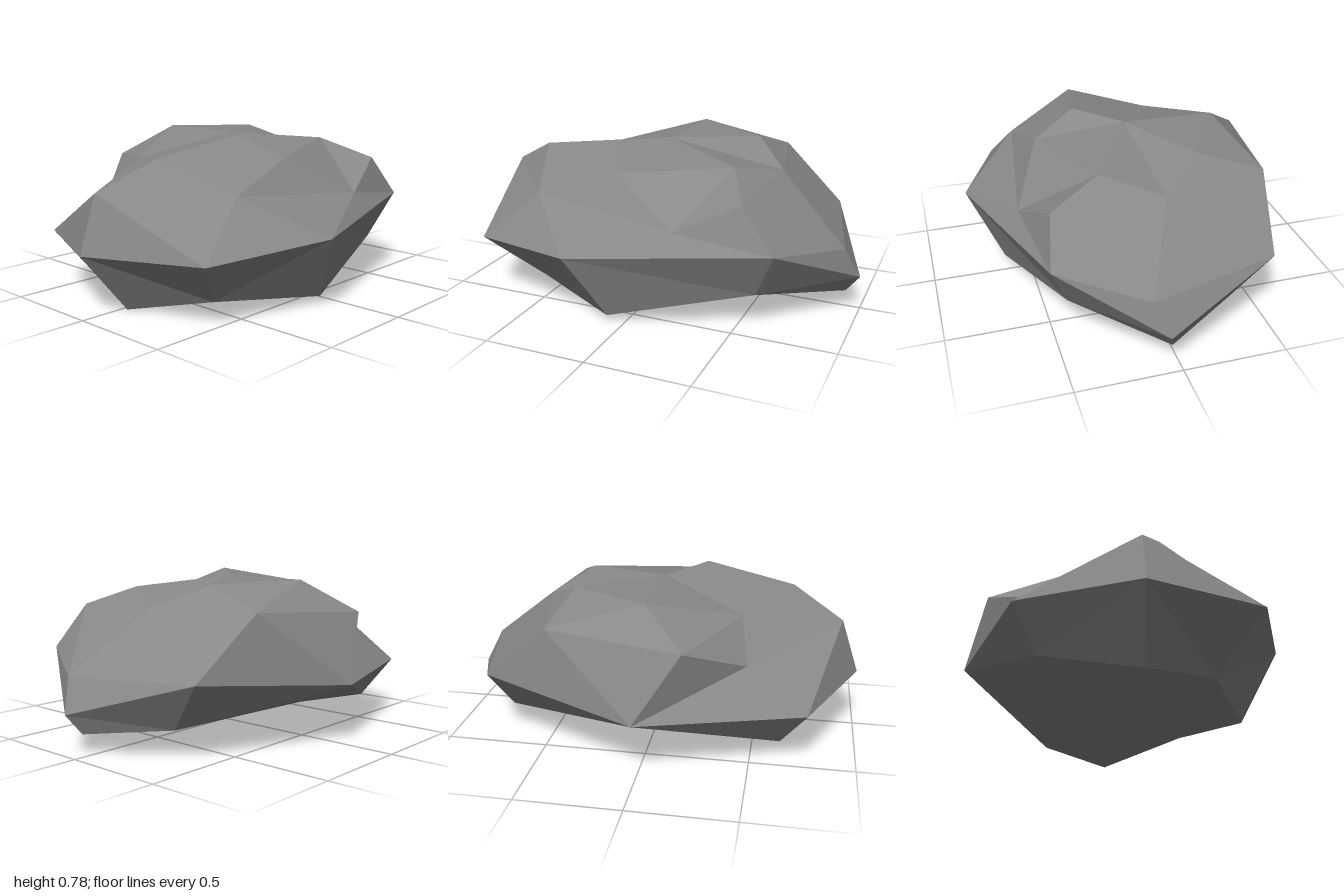
import * as THREE from 'three';

// Rings of the boulder, from crown to base; each starts at -x and turns through +z.
const crown = [-0.02, 0.76, -0.02];
const rings = [
  [[-0.66, 0.70, 0.12], [-0.21, 0.78, 0.20], [-0.11, 0.68, 0.42], [0.41, 0.715, 0.23],
   [0.57, 0.645, -0.05], [0.385, 0.75, -0.255], [0, 0.76, -0.48], [-0.43, 0.65, -0.25]],
  [[-0.91, 0.565, 0], [-0.51, 0.555, 0.48], [0.235, 0.485, 0.58], [0.53, 0.62, 0.48],
   [0.93, 0.345, 0.12], [0.45, 0.645, -0.58], [-0.20, 0.605, -0.68], [-0.47, 0.475, -0.455]],
  [[-1, 0.295, 0], [-0.79, 0.31, 0.57], [-0.22, 0.365, 0.785], [0.695, 0.415, 0.52],
   [1, 0.19, 0.06], [0.77, 0.365, -0.515], [0.01, 0.29, -0.785], [-0.76, 0.285, -0.545]],
  [[-0.765, 0, 0.025], [-0.555, 0.065, 0.38], [-0.08, 0.035, 0.62], [0.59, 0.18, 0.43],
   [0.93, 0.095, 0.03], [0.71, 0.133, -0.333], [0.04, 0.175, -0.515], [-0.64, 0.09, -0.43]],
];
const base = [-0.05, 0.115, 0.13];

// Which way each facet between two rings is split: 1 falls forward, 0 falls back.
const splits = ['10001001', '11101100', '10101010'];

function boulderGeometry() {
  const positions = [];
  const tri = (...corners) => corners.forEach((p) => positions.push(...p));
  const n = rings[0].length;
  const last = rings[rings.length - 1];
  for (let i = 0; i < n; i++) {
    const j = (i + 1) % n;
    tri(crown, rings[0][i], rings[0][j]);
    splits.forEach((split, r) => {
      const up = rings[r], low = rings[r + 1];
      if (split[i] === '1') {
        tri(up[i], low[i], low[j]);
        tri(up[i], low[j], up[j]);
      } else {
        tri(up[i], low[i], up[j]);
        tri(up[j], low[i], low[j]);
      }
    });
    tri(base, last[j], last[i]);
  }
  const geometry = new THREE.BufferGeometry();
  geometry.setAttribute('position', new THREE.Float32BufferAttribute(positions, 3));
  geometry.computeVertexNormals(); // unshared corners give flat facets
  return geometry;
}

export function createModel() {
  const stone = new THREE.MeshStandardMaterial({ color: 0x888888, flatShading: true });
  stone.name = 'greyStone';

  const boulder = new THREE.Mesh(boulderGeometry(), stone);
  boulder.name = 'boulder';

  const model = new THREE.Group();
  model.name = 'rock';
  model.add(boulder);
  return model;
}
